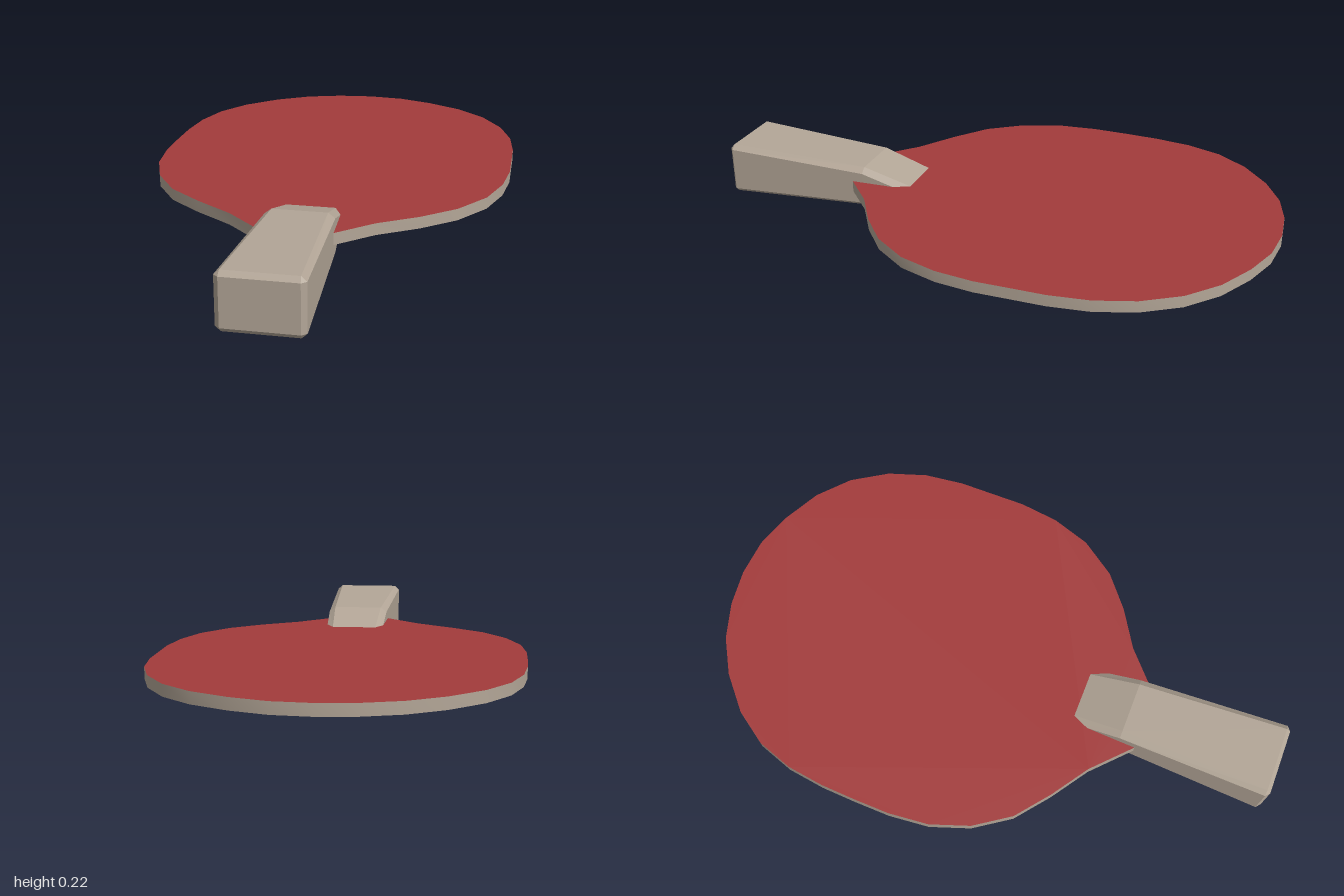
import * as THREE from 'three';

const wood = new THREE.MeshStandardMaterial({ name: 'pale wood', color: 0xb3a697 });
const red = new THREE.MeshStandardMaterial({ name: 'red rubber', color: 0xa33b3b });

const BLADE_BOTTOM = 0.089, BLADE_TOP = 0.135, MID = 0.108;

// Blade outline as (x, z), from one neck corner round to the other
const OUTLINE = [
  [-0.59, 0.385], [-0.585, 0.18], [-0.61, 0], [-0.62, -0.17], [-0.58, -0.335], [-0.5, -0.48],
  [-0.39, -0.6], [-0.28, -0.695], [-0.17, -0.785], [-0.045, -0.87], [0.095, -0.93], [0.25, -0.95],
  [0.42, -0.93], [0.57, -0.88], [0.7, -0.8], [0.81, -0.7], [0.9, -0.58], [0.96, -0.44],
  [1, -0.28], [1, -0.12], [0.955, 0.04], [0.875, 0.18], [0.77, 0.3], [0.67, 0.39],
  [0.565, 0.485], [0.435, 0.575], [0.285, 0.64], [0.115, 0.66], [-0.05, 0.635], [-0.22, 0.585],
  [-0.4, 0.565],
];

function geometryFrom(positions, index) {
  const g = new THREE.BufferGeometry();
  g.setAttribute('position', new THREE.Float32BufferAttribute(positions, 3));
  g.setIndex(index);
  return g;
}

function addMesh(parent, name, geometry, material) {
  const mesh = new THREE.Mesh(geometry, material);
  mesh.name = name;
  parent.add(mesh);
  return mesh;
}

// Upright wall along an open line of points, smooth along its length
function wall(points) {
  const pos = [], index = [];
  points.forEach(([x, z], i) => {
    pos.push(x, BLADE_BOTTOM, z, x, BLADE_TOP, z);
    if (i < points.length - 1) {
      const a = i * 2;
      index.push(a, a + 1, a + 3, a, a + 3, a + 2);
    }
  });
  const g = geometryFrom(pos, index);
  g.computeVertexNormals();
  return g;
}

// Flat rubber sheet facing up (+1) or down (-1)
function sheet(facing, y) {
  const shape = new THREE.Shape(OUTLINE.map(([x, z]) => new THREE.Vector2(x, -facing * z)));
  return new THREE.ShapeGeometry(shape).rotateX(-facing * Math.PI / 2).translate(0, y, 0);
}

// Chamfered handle lofted along x through eight-sided sections:
// [position, flat half width, half height, side half width, side half height]
function handleGeometry() {
  const sections = [
    [-0.013, 0.134, 0.09, 0.134, 0.09],
    [0.003, 0.132, 0.108, 0.152, 0.09],
    [0.6, 0.104, 0.086, 0.13, 0.066],
    [0.8, 0.094, 0.027, 0.122, 0.008],
    [0.83, 0.092, 0.018, 0.118, 0.004],
  ];
  const pos = [], index = [], last = (sections.length - 1) * 8;
  sections.forEach(([x, w, h, sw, sh], i) => {
    const loop = [[sw, sh], [w, h], [-w, h], [-sw, sh], [-sw, -sh], [-w, -h], [w, -h], [sw, -sh]];
    loop.forEach(([z, y], j) => {
      pos.push(x, y, z);
      if (i === sections.length - 1) return;
      const a = i * 8 + j, b = i * 8 + (j + 1) % 8;
      index.push(a, a + 8, b + 8, a, b + 8, b);
    });
  });
  // End caps
  for (let j = 1; j < 7; j++) index.push(0, j, j + 1, last, last + j + 1, last + j);
  const g = geometryFrom(pos, index).toNonIndexed();
  g.computeVertexNormals();
  return g;
}

export function createModel() {
  const model = new THREE.Group();
  model.name = 'paddle';

  // Blade: red faces with a wooden edge
  const blade = new THREE.Group();
  blade.name = 'blade';
  addMesh(blade, 'topRubber', sheet(1, BLADE_TOP), red);
  addMesh(blade, 'bottomRubber', sheet(-1, BLADE_BOTTOM), red);
  addMesh(blade, 'bladeEdge', wall(OUTLINE), wood);
  addMesh(blade, 'neckEdge', wall([OUTLINE[OUTLINE.length - 1], OUTLINE[0]]), wood);
  model.add(blade);

  // Handle, set diagonally and tapering onto the blade
  const handle = addMesh(model, 'handle', handleGeometry(), wood);
  handle.position.set(-0.9, MID, 0.838);
  handle.rotation.y = Math.atan2(0.666, 0.746);

  return model;
}
